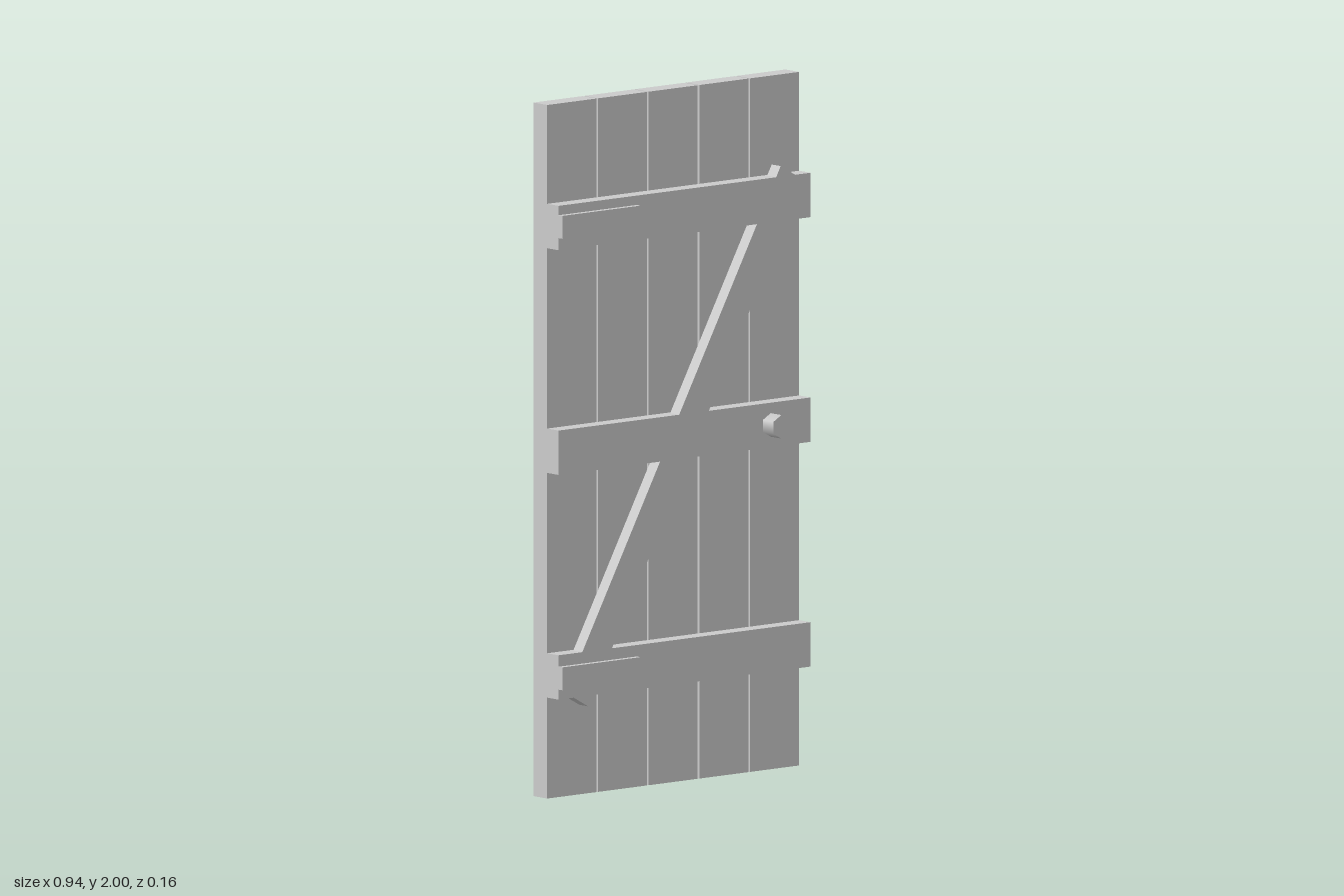
import * as THREE from 'three';

const material = new THREE.MeshStandardMaterial({ color: 0xcccccc });
const HALF_WIDTH = 0.472;
const MID_Y = 1.003;

// Box given by its limits on each axis
function box(name, [x0, x1], [y0, y1], [z0, z1]) {
  const mesh = new THREE.Mesh(new THREE.BoxGeometry(x1 - x0, y1 - y0, z1 - z0), material);
  mesh.position.set((x0 + x1) / 2, (y0 + y1) / 2, (z0 + z1) / 2);
  mesh.name = name;
  return mesh;
}

export function createModel() {
  const door = new THREE.Group();
  door.name = 'plankDoor';

  // Five upright planks with narrow gaps
  const count = 5, gap = 0.006;
  const plankWidth = (2 * HALF_WIDTH - gap * (count - 1)) / count;
  for (let i = 0; i < count; i++) {
    const x = -HALF_WIDTH + i * (plankWidth + gap);
    door.add(box(`plank${i + 1}`, [x, x + plankWidth], [0, 2], [-0.0785, -0.0185]));
  }

  // Three horizontal rails across the front
  const railNames = ['bottomRail', 'middleRail', 'topRail'];
  railNames.forEach((name, i) => {
    const y = MID_Y + (i - 1) * 0.648;
    door.add(box(name, [-HALF_WIDTH, HALF_WIDTH], [y - 0.064, y + 0.064], [-0.0185, 0.031]));
  });

  // Diagonal brace, flush with the rails; its corners poke past them
  const brace = box('diagonalBrace', [-0.0485, 0.0485], [MID_Y - 0.824, MID_Y + 0.824], [-0.0085, 0.031]);
  brace.rotation.z = -Math.atan2(0.403, 0.719);
  door.add(brace);

  // Hinge straps on the top and bottom rails
  for (const [name, y] of [['bottomHinge', 0.353], ['topHinge', 1.655]]) {
    door.add(box(name, [-HALF_WIDTH, -0.179], [y - 0.033, y + 0.033], [0.031, 0.0475]));
  }

  // Six-sided knob, a point facing up
  const knob = new THREE.Mesh(new THREE.CylinderGeometry(0.034, 0.034, 0.0465, 6), material);
  knob.rotation.x = Math.PI / 2;
  knob.position.set(0.323, MID_Y, 0.0543);
  knob.name = 'knob';
  door.add(knob);

  return door;
}
